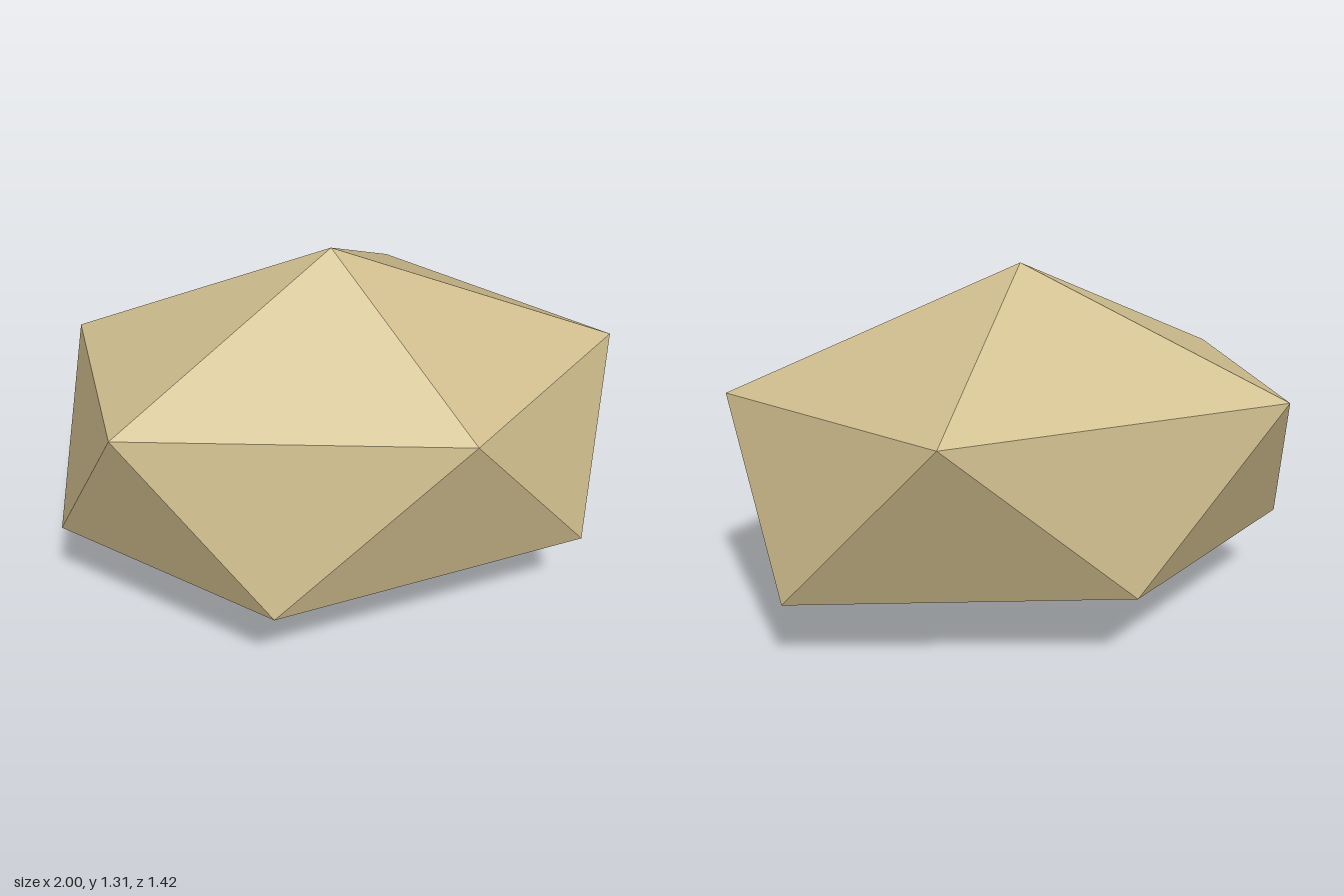
import * as THREE from 'three';

export function createModel() {
  const group = new THREE.Group();
  group.name = 'boulder';

  const sandstone = new THREE.MeshStandardMaterial({ color: 0xd0be8e, flatShading: true });
  sandstone.name = 'sandstone';

  // Top and bottom points, and two staggered rings of five corners
  const top = [-0.02, 1.31, 0.03];
  const bottom = [-0.02, 0, 0.03];
  const upper = [[1, 0.893, 0.03], [0.31, 0.91, 0.71], [-0.8, 0.88, 0.41], [-0.865, 0.903, -0.385], [0.345, 0.94, -0.71]];
  const lower = [[0.805, 0.3, 0.43], [-0.33, 0.303, 0.67], [-1, 0.31, 0.03], [-0.32, 0.315, -0.58], [0.847, 0.285, -0.39]];

  // Cap, zigzag band and base, one fifth at a time
  const corners = [];
  for (let i = 0; i < 5; i++) {
    const j = (i + 1) % 5;
    corners.push(top, upper[j], upper[i]);
    corners.push(upper[i], upper[j], lower[i]);
    corners.push(lower[i], upper[j], lower[j]);
    corners.push(bottom, lower[i], lower[j]);
  }

  const geometry = new THREE.BufferGeometry();
  geometry.setAttribute('position', new THREE.Float32BufferAttribute(corners.flat(), 3));
  geometry.computeVertexNormals();

  const rock = new THREE.Mesh(geometry, sandstone);
  rock.name = 'rock';
  group.add(rock);
  return group;
}
